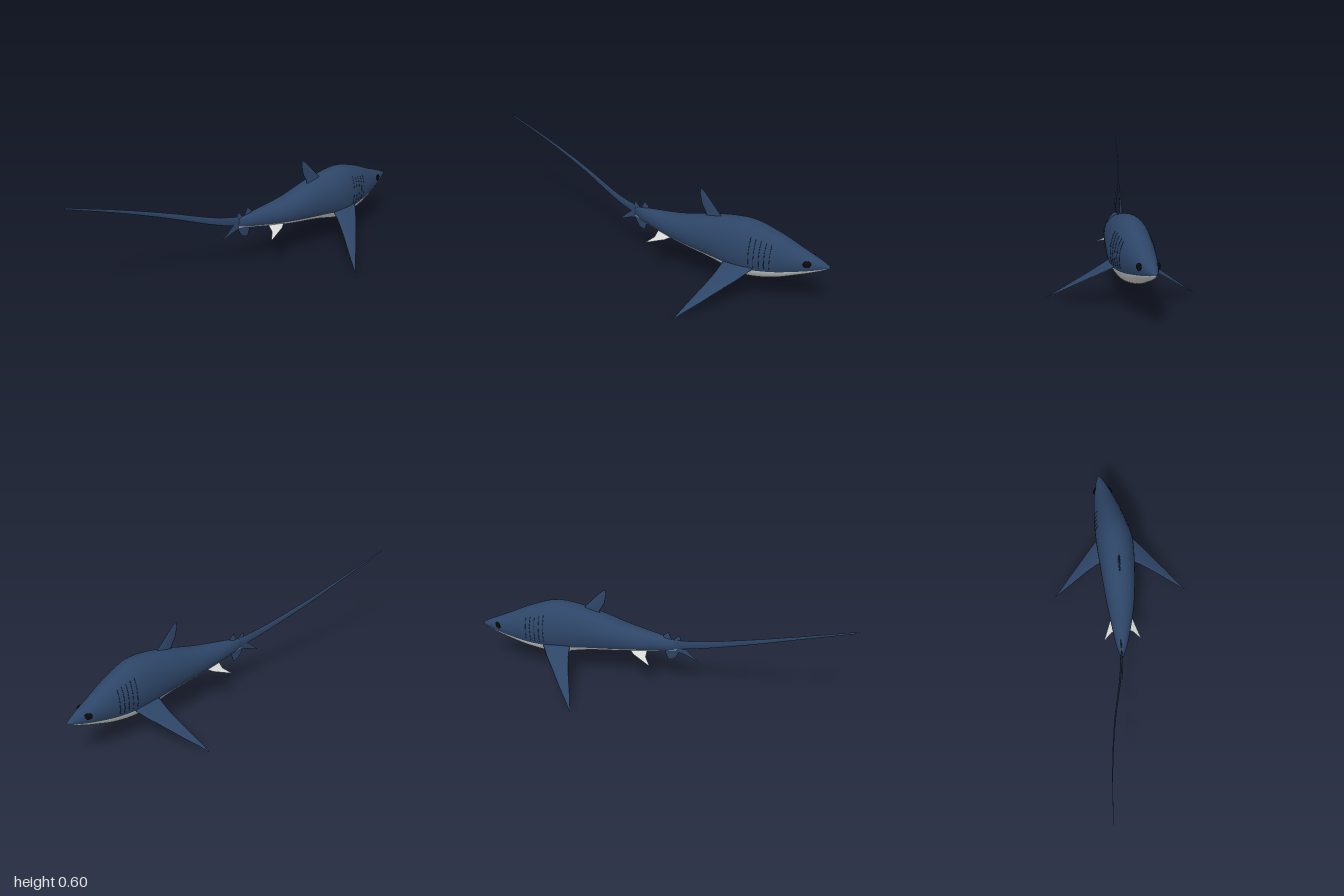
import * as THREE from 'three';

const V = (x, y, z) => new THREE.Vector3(x, y, z);
const paint = (name, color) => {
  const m = new THREE.MeshStandardMaterial({ color });
  m.name = name;
  return m;
};

// Body stations: [x, centre y, centre z] and [half height, half width, colour line y]
const SPINE = [
  [-0.088, 0.286, -0.02], [0, 0.286, -0.015], [0.2, 0.284, -0.008], [0.4, 0.297, -0.01],
  [0.585, 0.29, -0.018], [0.73, 0.279, -0.038], [0.865, 0.272, -0.06], [0.95, 0.272, -0.073], [0.998, 0.272, -0.08],
];
const GIRTH = [
  [0.028, 0.006, 0.268], [0.043, 0.034, 0.258], [0.076, 0.07, 0.238], [0.118, 0.091, 0.22],
  [0.15, 0.1, 0.209], [0.121, 0.083, 0.215], [0.066, 0.054, 0.239], [0.03, 0.028, 0.258], [0.005, 0.006, 0.271],
];
const curve = (rows) => new THREE.CatmullRomCurve3(rows.map((r) => V(...r)), false, 'centripetal');
// Each value is interpolated along the same parameter
const sample = (rows, t) => {
  const f = Math.min(t * (rows.length - 1), rows.length - 1.000001), i = Math.floor(f), u = f - i;
  const at = (k) => rows[Math.max(0, Math.min(rows.length - 1, k))];
  return rows[0].map((_, c) => {
    const [a, b, d, e] = [at(i - 1)[c], at(i)[c], at(i + 1)[c], at(i + 2)[c]];
    return b + 0.5 * u * (d - a + u * (2 * a - 5 * b + 4 * d - e + u * (3 * (b - d) + e - a)));
  });
};
// Point on the skin at parameter t and angle a (0 = +z side, half pi = back)
const skin = (t, a, grow = 0) => {
  const [x, cy, cz] = sample(SPINE, t), [hh, hw] = sample(GIRTH, t);
  const c = Math.cos(a);
  return V(x, cy + (hh + grow) * Math.sin(a), cz + (hw + grow) * Math.sign(c) * Math.abs(c) ** 0.92);
};
// Parameter whose station lies at the given x
const paramAt = (x) => {
  let lo = 0, hi = 1;
  for (let i = 0; i < 30; i++) {
    const m = (lo + hi) / 2;
    if (sample(SPINE, m)[0] < x) lo = m; else hi = m;
  }
  return lo;
};

function bodyGeometry() {
  const ROWS = 72, UP = 28, LOW = 18, N = UP + LOW;
  const pos = [], upper = [], lower = [];
  for (let i = 0; i <= ROWS; i++) {
    const t = i / ROWS, cy = sample(SPINE, t)[1], [hh, , line] = sample(GIRTH, t);
    const edge = Math.asin(Math.max(-0.95, Math.min(0, (line - cy) / hh)));
    for (let j = 0; j < N; j++) {
      const a = j < UP
        ? edge + (Math.PI - 2 * edge) * (j / UP)
        : Math.PI - edge + (Math.PI + 2 * edge) * ((j - UP) / LOW);
      pos.push(...skin(t, a).toArray());
    }
  }
  for (let i = 0; i < ROWS; i++) for (let j = 0; j < N; j++) {
    const a = i * N + j, b = i * N + (j + 1) % N;
    (j < UP ? upper : lower).push(a, a + N, b, b, a + N, b + N);
  }
  // End caps
  for (const [i, flip] of [[0, true], [ROWS, false]]) {
    const c = pos.length / 3;
    pos.push(...sample(SPINE, i / ROWS));
    for (let j = 0; j < N; j++) {
      const a = i * N + j, b = i * N + (j + 1) % N;
      (j < UP ? upper : lower).push(c, ...(flip ? [a, b] : [b, a]));
    }
  }
  const g = new THREE.BufferGeometry();
  g.setAttribute('position', new THREE.Float32BufferAttribute(pos, 3));
  g.setIndex([...upper, ...lower]);
  g.addGroup(0, upper.length, 0);
  g.addGroup(upper.length, lower.length, 1);
  g.computeVertexNormals();
  return g;
}

// Lens-section fin through rows of [leading point, trailing point, half thickness];
// group 0 faces along n, group 1 faces away
function finGeometry(rows, n) {
  const N = 16, pos = [], faces = [[], []];
  for (const [lead, trail, th] of rows) for (let j = 0; j < N; j++) {
    const a = (j / N) * Math.PI * 2;
    const p = lead.clone().lerp(trail, 0.5 - 0.5 * Math.cos(a)).addScaledVector(n, th * Math.sin(a));
    pos.push(p.x, p.y, p.z);
  }
  const chord = rows[0][1].clone().sub(rows[0][0]);
  const span = rows[rows.length - 1][0].clone().sub(rows[0][0]);
  const keep = chord.cross(span).dot(n) > 0;
  for (let i = 0; i < rows.length - 1; i++) for (let j = 0; j < N; j++) {
    const a = i * N + j, b = i * N + (j + 1) % N, c = a + N, d = b + N;
    faces[j < N / 2 ? 0 : 1].push(...(keep ? [a, b, c, b, d, c] : [a, c, b, b, c, d]));
  }
  const g = new THREE.BufferGeometry();
  g.setAttribute('position', new THREE.Float32BufferAttribute(pos, 3));
  g.setIndex(faces.flat());
  g.addGroup(0, faces[0].length, 0);
  g.addGroup(faces[0].length, faces[1].length, 1);
  g.computeVertexNormals();
  return g;
}

export function createModel() {
  const model = new THREE.Group();
  model.name = 'shark';
  const navy = paint('navy back', 0x2d4567);
  const pale = paint('pale belly', 0xd6d8d6);
  const black = paint('black eye', 0x0a0a0c);
  const slit = paint('dark gill', 0x1d2f4a);
  const add = (name, geometry, material) => {
    const m = new THREE.Mesh(geometry, material);
    m.name = name;
    model.add(m);
    return m;
  };

  add('body', bodyGeometry(), [navy, pale]);

  // Upright fins in the plane of the spine: rows of [lead x, y, trail x, y, thickness]
  const upright = (name, z, rows) => add(name, finGeometry(
    rows.map(([x1, y1, x2, y2, th]) => [V(x1, y1, z), V(x2, y2, z), th]), V(0, 0, 1)), [navy, navy]);
  upright('dorsalFin', -0.002, [
    [0.47, 0.39, 0.35, 0.37, 0.008], [0.435, 0.425, 0.352, 0.412, 0.006],
    [0.385, 0.48, 0.325, 0.46, 0.004], [0.345, 0.523, 0.313, 0.515, 0.002], [0.325, 0.54, 0.316, 0.54, 0.0005],
  ]);
  upright('lowerTailLobe', -0.02, [
    [0, 0.275, -0.1, 0.275, 0.006], [-0.015, 0.235, -0.085, 0.235, 0.004], [-0.03, 0.193, -0.065, 0.205, 0.001],
  ]);
  upright('rearTailLobe', -0.022, [
    [-0.07, 0.25, -0.08, 0.31, 0.005], [-0.12, 0.24, -0.13, 0.27, 0.003], [-0.186, 0.212, -0.188, 0.216, 0.001],
  ]);
  upright('upperTailLobe', -0.02, [[0, 0.31, -0.06, 0.3, 0.005], [-0.005, 0.34, -0.03, 0.362, 0.001]]);
  upright('smallTailLobe', -0.02, [[-0.04, 0.3, -0.1, 0.29, 0.005], [-0.085, 0.345, -0.095, 0.345, 0.001]]);

  // Long whip tail: [x, y, z, half height, half thickness]
  const whip = curve([[-0.04, 0.285, -0.018], [-0.2, 0.322, -0.035], [-0.47, 0.416, -0.08], [-0.72, 0.502, -0.105], [-1, 0.592, -0.118]]);
  const whipRows = [];
  for (let i = 0; i <= 20; i++) {
    const t = i / 20, p = whip.getPoint(t), h = 0.005 + 0.025 * (1 - t) ** 1.3;
    whipRows.push([p.clone().add(V(0, h, 0)), p.clone().add(V(0, -h, 0)), 0.0008 + 0.006 * (1 - t)]);
  }
  add('whipTail', finGeometry(whipRows, V(0, 0, 1)), [navy, navy]);

  for (const side of [1, -1]) {
    const label = side > 0 ? 'left' : 'right';

    // Pectoral fin: [fraction of span, lead x, trail x, half thickness]
    const root = V(0, 0.212, side > 0 ? 0.07 : -0.1), tip = V(0, 0.001, side * 0.366);
    const d = tip.clone().sub(root);
    const rows = [
      [-0.15, 0.67, 0.5, 0.01], [0, 0.65, 0.495, 0.009], [0.2, 0.605, 0.482, 0.007],
      [0.4, 0.553, 0.462, 0.005], [0.65, 0.49, 0.433, 0.003], [0.88, 0.428, 0.408, 0.0015], [1, 0.4, 0.396, 0.0004],
    ].map(([t, x1, x2, th]) => {
      const p = root.clone().addScaledVector(d, t);
      return [V(x1, p.y, p.z), V(x2, p.y, p.z), th];
    });
    add(label + 'PectoralFin', finGeometry(rows, V(0, Math.abs(d.z), -side * d.y).normalize()), [navy, pale]);

    // Pelvic fin
    const zc = -0.008;
    add(label + 'PelvicFin', finGeometry([
      [V(0.19, 0.245, zc + side * 0.03), V(0.08, 0.24, zc + side * 0.025), 0.005],
      [V(0.145, 0.22, zc + side * 0.062), V(0.078, 0.215, zc + side * 0.058), 0.003],
      [V(0.055, 0.192, zc + side * 0.096), V(0.047, 0.19, zc + side * 0.096), 0.0006],
    ], V(0, 0.8, side * 0.6)), [pale, pale]);

    // Eye
    const facing = side > 0 ? 0.28 : Math.PI - 0.28;
    const eye = add(label + 'Eye', new THREE.SphereGeometry(1, 20, 14), black);
    eye.scale.set(0.02, 0.018, 0.007);
    eye.position.copy(skin(paramAt(0.902), facing));
    eye.rotation.y = side * 0.5;

    // Gill slits
    for (let k = 0; k < 5; k++) {
      const t = paramAt(0.635 + k * 0.025), pts = [];
      for (let i = 0; i <= 10; i++) {
        const a = -0.4 + 1.15 * (i / 10);
        pts.push(skin(t, side > 0 ? a : Math.PI - a));
      }
      add(label + 'GillSlit', new THREE.TubeGeometry(new THREE.CatmullRomCurve3(pts), 16, 0.0013, 5), slit);
    }
  }
  return model;
}
